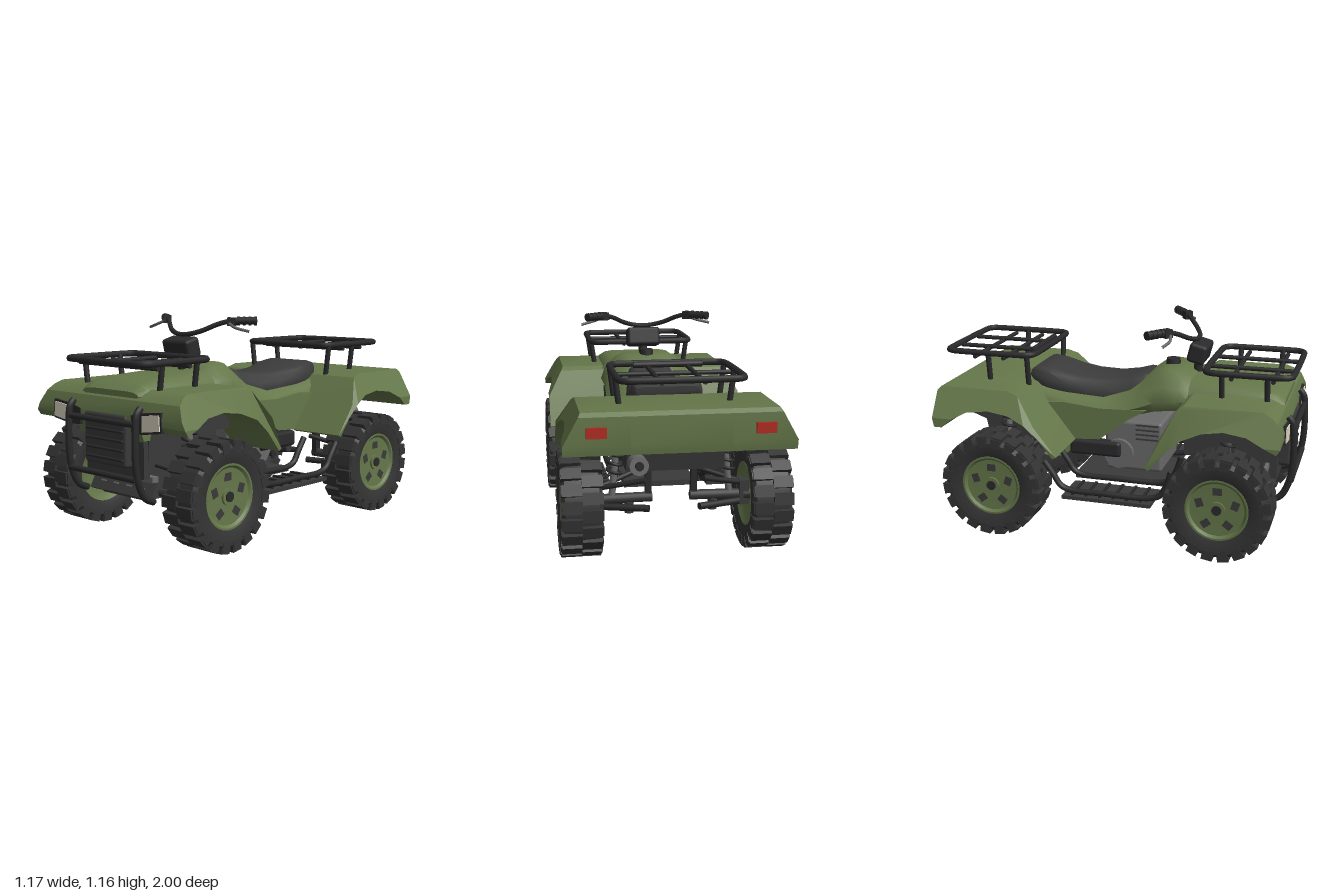
import * as THREE from 'three';
import { toCreasedNormals } from 'three/addons/utils/BufferGeometryUtils.js';
import { RoundedBoxGeometry } from 'three/addons/geometries/RoundedBoxGeometry.js';

const mat = (name, color) => { const m = new THREE.MeshStandardMaterial({ color }); m.name = name; return m; };

export function createModel() {
  const green = mat('green paint', 0x65774a), tyre = mat('tyre rubber', 0x343434), black = mat('black metal', 0x2a2a2c),
    plastic = mat('dark plastic', 0x3a3a3b), seatM = mat('seat vinyl', 0x3c3c3d), grey = mat('engine grey', 0x6a6a6a),
    lens = mat('lens cream', 0xe2d9c4), red = mat('tail light red', 0xb02c22);
  const root = new THREE.Group();
  let parent = root;
  const V = (p) => new THREE.Vector3(...p);
  const add = (name, geo, m, p = [0, 0, 0], r = [0, 0, 0]) => {
    const o = new THREE.Mesh(geo, m);
    o.name = name; o.position.set(...p); o.rotation.set(...r); parent.add(o);
    return o;
  };
  const box = (name, m, size, p, r) => add(name, new THREE.BoxGeometry(...size), m, p, r);
  const rbox = (name, m, size, p, r, rad = 0.02) => add(name, new RoundedBoxGeometry(...size, 2, rad), m, p, r);
  const rod = (name, m, a, b, r) => {
    const A = V(a), B = V(b), d = B.clone().sub(A);
    const o = add(name, new THREE.CylinderGeometry(r, r, d.length(), 16), m);
    o.position.copy(A.add(B).multiplyScalar(0.5));
    o.quaternion.setFromUnitVectors(new THREE.Vector3(0, 1, 0), d.normalize());
  };
  const tube = (name, m, pts, r, closed = false, seg = 48) =>
    add(name, new THREE.TubeGeometry(new THREE.CatmullRomCurve3(pts.map(V), closed, 'centripetal'), seg, r, 8, closed), m);
  const both = (fn) => [1, -1].forEach(fn);
  const outline = (pts) => new THREE.Shape(pts.map((p) => new THREE.Vector2(...p)));

  // Slab cut from a (z, y) outline, spanning x0..x1
  const slab = (pts, x0, x1) =>
    new THREE.ExtrudeGeometry(outline(pts), { depth: x1 - x0, bevelEnabled: false }).rotateY(-Math.PI / 2).translate(x1, 0, 0);
  // Loft through rings ordered by rising z; each row is [z, wide, topWide, yBottom, yTop]
  const loft = (rows, crease = 0.6) => {
    const pos = [], idx = [], n = 10;
    rows.forEach(([z, w, t, b, h]) => {
      const H = h - b;
      const half = [[w * 0.88, b], [w, b + H * 0.25], [w * 0.7 + t * 0.3, b + H * 0.6], [t, b + H * 0.9], [t * 0.75, h]];
      half.forEach(([x, y]) => pos.push(x, y, z));
      half.reverse().forEach(([x, y]) => pos.push(-x, y, z));
    });
    for (let i = 0; i < rows.length - 1; i++) for (let j = 0; j < n; j++) {
      const a = i * n + j, c = i * n + (j + 1) % n;
      idx.push(a, c, c + n, a, c + n, a + n);
    }
    const e = (rows.length - 1) * n;
    for (let j = 1; j < n - 1; j++) idx.push(0, j + 1, j, e, e + j, e + j + 1);
    const g = new THREE.BufferGeometry();
    g.setAttribute('position', new THREE.Float32BufferAttribute(pos, 3));
    g.setIndex(idx);
    return toCreasedNormals(g, crease);
  };

  // Fenders: arched outer wings with chamfered shoulders, joined by a centre slab
  const width = (y) => (y < 0.65 ? 0.578 : 0.578 - (y - 0.65) / 0.16 * 0.088);
  const fender = (name, wing, centre) => {
    both((s) => {
      const g = s > 0 ? slab(wing, 0.25, 0.575) : slab(wing, -0.575, -0.25);
      const p = g.attributes.position;
      for (let i = 0; i < p.count; i++) if (Math.abs(p.getX(i)) > 0.5) p.setX(i, s * width(p.getY(i)));
      add(name + 'Wing', toCreasedNormals(g, 0.45), green);
    });
    add(name + 'Centre', toCreasedNormals(slab(centre, -0.25, 0.25), 0.45), green);
  };
  const frontTop = [[0.925, 0.62], [0.945, 0.65], [0.945, 0.69], [0.92, 0.76], [0.885, 0.79], [0.84, 0.81], [0.43, 0.81], [0.4, 0.79]];
  fender('frontFender',
    [...frontTop, [0.325, 0.65], [0.25, 0.48], [0.27, 0.47], [0.36, 0.58], [0.44, 0.65], [0.54, 0.69], [0.65, 0.705], [0.77, 0.69], [0.86, 0.65]],
    [[0.91, 0.56], ...frontTop.slice(1), [0.36, 0.7], [0.5, 0.7], [0.84, 0.69], [0.87, 0.56]]);
  const rearTop = [[-0.54, 0.81], [-0.93, 0.81], [-0.95, 0.79], [-0.955, 0.65], [-0.945, 0.6], [-0.9, 0.6]];
  fender('rearFender',
    [[-0.24, 0.49], [-0.365, 0.65], [-0.48, 0.79], ...rearTop, [-0.84, 0.65], [-0.76, 0.69], [-0.64, 0.705], [-0.52, 0.69], [-0.42, 0.65], [-0.34, 0.58], [-0.26, 0.48]],
    [[-0.38, 0.67], [-0.48, 0.79], ...rearTop, [-0.89, 0.68], [-0.4, 0.66]]);

  // Hood, tank and body shell
  add('hood', loft([[0.4, 0.25, 0.18, 0.77, 0.87], [0.5, 0.25, 0.2, 0.77, 0.864], [0.78, 0.25, 0.2, 0.77, 0.852], [0.87, 0.24, 0.19, 0.77, 0.835], [0.915, 0.22, 0.18, 0.77, 0.8]]), green);
  add('tankAndBody', loft([[-0.55, 0.24, 0.2, 0.68, 0.79], [-0.35, 0.24, 0.2, 0.67, 0.75], [-0.1, 0.25, 0.17, 0.645, 0.73], [0.05, 0.25, 0.15, 0.645, 0.78],
    [0.13, 0.26, 0.14, 0.66, 0.845], [0.2, 0.26, 0.15, 0.68, 0.895], [0.26, 0.265, 0.17, 0.69, 0.908], [0.34, 0.265, 0.18, 0.7, 0.9], [0.4, 0.25, 0.17, 0.72, 0.875], [0.46, 0.22, 0.15, 0.76, 0.83]], 1), green);
  const panel = [[0.17, 0.69], [0.07, 0.63], [-0.1, 0.5], [-0.26, 0.49], [-0.45, 0.69], [-0.3, 0.7], [-0.1, 0.68]];
  both((s) => add('sidePanel', s > 0 ? slab(panel, 0.2, 0.255) : slab(panel, -0.255, -0.2), green));
  add('fuelCap', new THREE.CylinderGeometry(0.038, 0.042, 0.035, 20), black, [0, 0.915, 0.26]);

  // Seat
  add('seat', loft([[-0.53, 0.17, 0.16, 0.81, 0.85], [-0.5, 0.19, 0.18, 0.77, 0.868], [-0.42, 0.195, 0.175, 0.73, 0.86], [-0.32, 0.19, 0.165, 0.71, 0.835], [-0.2, 0.18, 0.15, 0.69, 0.82],
    [-0.06, 0.165, 0.13, 0.68, 0.82], [0.05, 0.15, 0.115, 0.7, 0.84], [0.12, 0.13, 0.105, 0.79, 0.862], [0.14, 0.115, 0.095, 0.82, 0.86]], 0.9), seatM);

  // Wheels: lathed tyre and dish, staggered lugs, slots and hub
  const lathe = (pts, seg = 40) => new THREE.LatheGeometry(pts.map((p) => new THREE.Vector2(...p)), seg).rotateZ(-Math.PI / 2);
  const tyreG = toCreasedNormals(lathe([[0.16, -0.085], [0.2, -0.1], [0.245, -0.102], [0.265, -0.085], [0.27, 0], [0.265, 0.085], [0.245, 0.102], [0.2, 0.1], [0.16, 0.085]]), 0.6);
  const rimG = toCreasedNormals(lathe([[0.001, -0.065], [0.12, -0.065], [0.15, -0.08], [0.168, -0.09], [0.168, 0.09], [0.158, 0.09], [0.145, 0.078], [0.001, 0.072]]), 0.5);
  const lugG = new THREE.BoxGeometry(0.1, 0.034, 0.06), shoulderG = new THREE.BoxGeometry(0.014, 0.05, 0.052);
  for (const z of [0.632, -0.625]) both((s) => {
    const w = parent = new THREE.Group();
    w.name = z > 0 ? 'frontWheel' : 'rearWheel';
    w.position.set(s * 0.48, 0.286, z);
    w.rotation.y = s > 0 ? 0 : Math.PI;
    root.add(w);
    add('tyre', tyreG, tyre);
    add('rim', rimG, green);
    for (let i = 0; i < 40; i++) {
      const a = i * Math.PI / 20, k = i % 2 ? 1 : -1;
      add('treadLug', lugG, tyre, [k * 0.05, 0.268 * Math.cos(a), 0.268 * Math.sin(a)], [a, 0, 0]);
      add('shoulderLug', shoulderG, tyre, [k * 0.098, 0.25 * Math.cos(a), 0.25 * Math.sin(a)], [a, 0, 0]);
    }
    for (let i = 0; i < 5; i++) {
      const a = i * Math.PI * 0.4;
      box('rimSlot', plastic, [0.008, 0.04, 0.048], [0.074, 0.1 * Math.cos(a), 0.1 * Math.sin(a)], [-a, 0, 0]);
    }
    rod('hubRing', green, [0.06, 0, 0], [0.085, 0, 0], 0.044);
    rod('hubCap', black, [0.07, 0, 0], [0.093, 0, 0], 0.026);
    rod('innerHub', black, [-0.1, 0, 0], [-0.06, 0, 0], 0.04);
    parent = root;
  });

  // Suspension arms, axles and coil shocks
  for (const z of [0.632, -0.625]) both((s) => {
    for (const dz of [-0.11, 0.11]) {
      rod('lowerArm', black, [s * 0.13, 0.26, z + dz], [s * 0.4, 0.25, z], 0.018);
      rod('upperArm', black, [s * 0.15, 0.41, z + dz], [s * 0.39, 0.345, z], 0.014);
    }
    rod('axle', plastic, [s * 0.1, 0.29, z], [s * 0.42, 0.286, z], 0.026);
    box('knuckle', plastic, [0.05, 0.13, 0.07], [s * 0.385, 0.3, z]);
    rod('armMount', plastic, [s * 0.22, 0.21, z], [s * 0.22, 0.27, z], 0.024);
    rod('shockBody', grey, [s * 0.31, 0.29, z], [s * 0.27, 0.7, z], 0.018);
    const coil = [];
    for (let i = 0; i <= 48; i++) {
      const a = i * Math.PI / 4, t = i / 48;
      coil.push([s * (0.3 - 0.025 * t) + 0.036 * Math.cos(a), 0.4 + 0.27 * t, z + 0.036 * Math.sin(a)]);
    }
    tube('shockSpring', black, coil, 0.009, false, 120);
  });

  // Chassis, engine and exhaust
  box('skidPlate', plastic, [0.4, 0.03, 0.56], [0, 0.25, 0.02]);
  box('frontSkidPlate', plastic, [0.34, 0.03, 0.42], [0, 0.25, 0.62]);
  box('frontSkidGuard', plastic, [0.48, 0.09, 0.02], [0, 0.29, 0.83], [-0.5, 0, 0]);
  for (let i = 0; i < 4; i++) box('guardSlot', grey, [0.036, 0.008, 0.006], [-0.15 + i * 0.1, 0.3, 0.84], [-0.5, 0, 0]);
  box('frontCrossmember', grey, [0.42, 0.03, 0.04], [0, 0.345, 0.8]);
  box('frontInnerFairing', plastic, [0.46, 0.25, 0.48], [0, 0.575, 0.62]);
  box('frontDifferential', plastic, [0.22, 0.2, 0.36], [0, 0.36, 0.62]);
  add('rearInnerFairing', slab([[-0.37, 0.465], [-0.76, 0.465], [-0.78, 0.56], [-0.89, 0.6], [-0.89, 0.69], [-0.37, 0.69]], -0.25, 0.25), plastic);
  both((s) => {
    box('rearFrameRail', black, [0.03, 0.22, 0.04], [s * 0.12, 0.38, -0.62]);
    box('wheelArchLiner', plastic, [0.12, 0.12, 0.36], [s * 0.3, 0.645, 0.6]);
  });
  rbox('engineBlock', grey, [0.38, 0.29, 0.33], [0, 0.455, 0.08]);
  both((s) => {
    rod('clutchCover', grey, [s * 0.17, 0.41, 0], [s * 0.215, 0.41, 0], 0.085);
    for (let i = 0; i < 4; i++) box('coolingFin', plastic, [0.008, 0.009, 0.13], [s * 0.191, 0.5 + i * 0.027, 0.16]);
    rbox('swingArm', black, [0.07, 0.09, 0.3], [s * 0.2, 0.435, -0.135]);
  });
  rod('muffler', grey, [0.2, 0.5, -0.6], [0.2, 0.525, -0.885], 0.048);
  rod('mufflerTip', black, [0.2, 0.525, -0.88], [0.2, 0.526, -0.9], 0.022);

  // Footboards with ribs and guard tubes
  both((s) => {
    box('footboard', plastic, [0.23, 0.02, 0.5], [s * 0.385, 0.235, 0.01]);
    for (let i = 0; i < 6; i++) box('footboardRib', black, [0.2, 0.014, 0.014], [s * 0.38, 0.25, 0.2 - i * 0.077]);
    for (const x of [0.25, 0.485]) tube('footboardTube', black,
      [[0.44, 0.37], [0.36, 0.345], [0.3, 0.31], [0.278, 0.25], [0.275, 0], [0.278, -0.2], [0.3, -0.25], [0.36, -0.29], [0.43, -0.34]].map(([y, z]) => [s * x, y, z]), 0.017);
  });

  // Cargo racks
  const rack = (name, z0, z1, y, posts, bars) => {
    const ring = [], r = 0.05, X = 0.305;
    [[X - r, z1 - r], [-X + r, z1 - r], [-X + r, z0 + r], [X - r, z0 + r]].forEach(([cx, cz], q) => {
      for (let i = 0; i <= 4; i++) {
        const a = (q + i / 4) * Math.PI / 2;
        ring.push([cx + r * Math.cos(a), y, cz + r * Math.sin(a)]);
      }
    });
    tube(name + 'Ring', black, ring, 0.017, true, 120);
    for (const x of [-0.105, 0.105]) rod(name + 'LongBar', black, [x, y - 0.014, z0], [x, y - 0.014, z1], 0.012);
    for (const z of bars) rod(name + 'CrossBar', black, [-X, y - 0.026, z], [X, y - 0.026, z], 0.012);
    for (const z of posts) both((s) => rod(name + 'Post', black, [s * 0.28, 0.79, z], [s * 0.302, y, z], 0.015));
  };
  rack('frontRack', 0.495, 0.955, 0.945, [0.59, 0.83], [0.64, 0.86]);
  rack('rearRack', -0.98, -0.47, 0.965, [-0.5, -0.73], [-0.64, -0.81]);
  rod('rearRackFrontBar', black, [-0.18, 0.965, -0.515], [0.18, 0.965, -0.515], 0.016);

  // Front bumper, grille and lights
  const plate = (name, m, pts, depth, z) =>
    both((s) => add(name, new THREE.ExtrudeGeometry(outline(pts.map(([x, y]) => [s * x, y])), { depth, bevelEnabled: false }), m, [0, 0, z]));
  plate('headlightHousing', black, [[0.2, 0.605], [0.285, 0.602], [0.422, 0.622], [0.415, 0.722], [0.28, 0.708], [0.2, 0.69]], 0.045, 0.905);
  plate('headlightLens', lens, [[0.286, 0.614], [0.411, 0.632], [0.406, 0.71], [0.286, 0.696]], 0.006, 0.95);
  both((s) => {
    tube('bumperUpright', black, [[0.94, 0.73], [0.965, 0.7], [0.976, 0.62], [0.976, 0.45], [0.96, 0.36], [0.92, 0.28], [0.86, 0.25]].map(([z, y]) => [s * 0.262, y, z]), 0.018);
    box('tailLight', red, [0.1, 0.054, 0.016], [s * 0.415, 0.715, -0.957]);
  });
  for (const y of [0.65, 0.375]) rod('bumperCrossBar', black, [-0.262, y, 0.972], [0.262, y, 0.972], 0.016);
  box('radiatorShroud', plastic, [0.45, 0.19, 0.04], [0, 0.455, 0.87]);
  rbox('grille', plastic, [0.33, 0.27, 0.08], [0, 0.55, 0.915]);
  for (let i = 0; i < 5; i++) rbox('grilleSlat', black, [0.29, 0.014, 0.016], [0, 0.455 + i * 0.048, 0.955], [0, 0, 0], 0.006);

  // Handlebar, grips, levers and instrument pod
  rod('steeringColumn', black, [0, 0.86, 0.4], [0, 0.97, 0.41], 0.026);
  rbox('instrumentPod', black, [0.2, 0.11, 0.1], [0, 0.985, 0.41], [0.25, 0, 0]);
  const bar = [[0.06, 1.062, 0.395], [0.12, 1.08, 0.37], [0.19, 1.115, 0.32], [0.24, 1.13, 0.285], [0.35, 1.135, 0.2]];
  tube('handlebar', black, [...bar.map(([x, y, z]) => [-x, y, z]).reverse(), [0, 1.056, 0.4], ...bar], 0.013, false, 80);
  both((s) => {
    rod('grip', black, [s * 0.26, 1.131, 0.268], [s * 0.355, 1.135, 0.196], 0.02);
    for (let i = 0; i < 4; i++) rod('gripRing', black, [s * (0.272 + i * 0.024), 1.132, 0.259 - i * 0.018], [s * (0.283 + i * 0.024), 1.132, 0.251 - i * 0.018], 0.024);
    box('leverClamp', black, [0.045, 0.045, 0.045], [s * 0.25, 1.128, 0.28], [0, s * 0.65, 0]);
    tube('brakeLever', grey, [[s * 0.25, 1.12, 0.3], [s * 0.3, 1.1, 0.31], [s * 0.385, 1.08, 0.285]], 0.008, false, 16);
  });
  return root;
}
